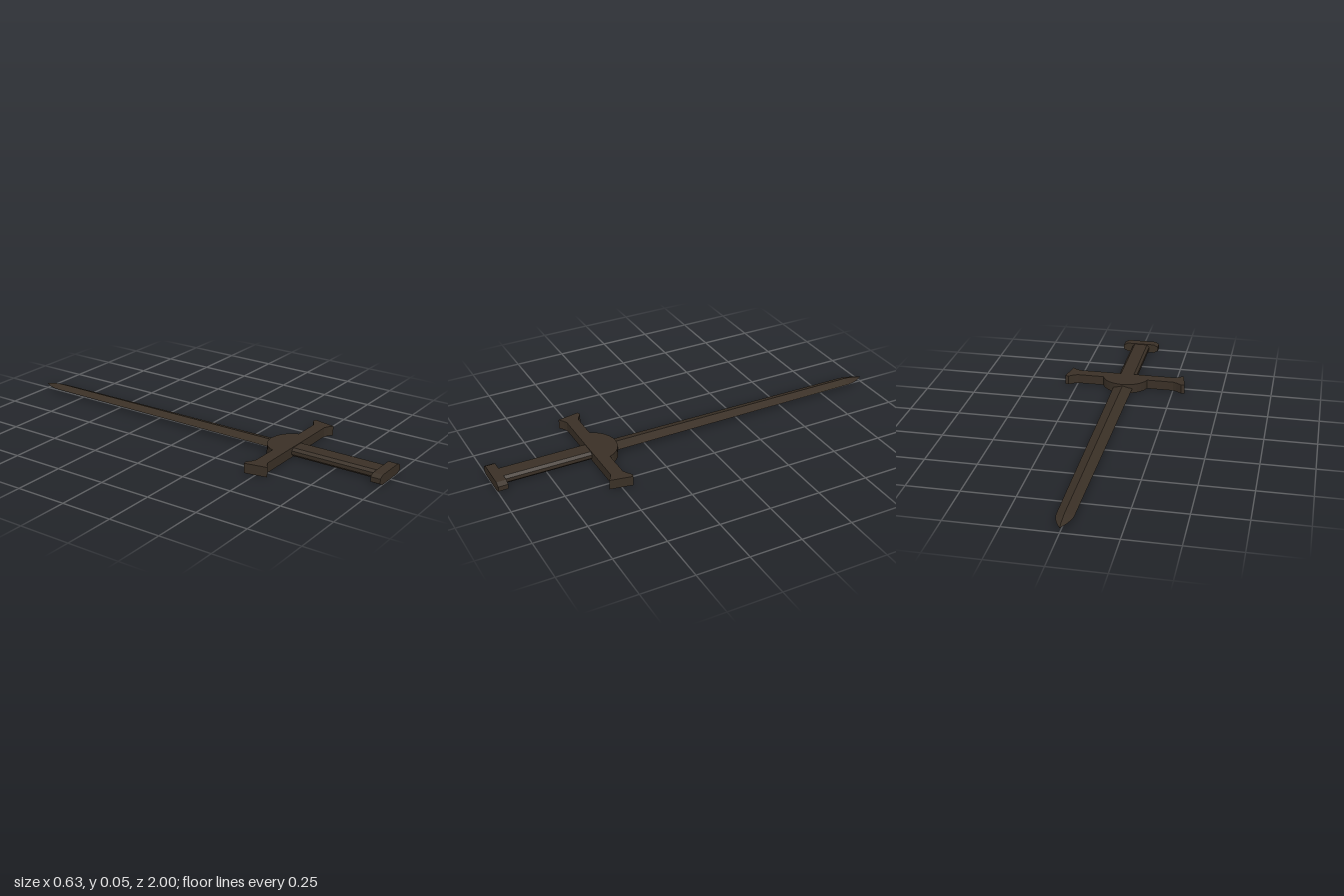
import * as THREE from 'three';

const HEIGHT = 0.047;
const MID = HEIGHT / 2;

// Bar along z with a chamfered rectangular section
function chamferedBar(halfW, halfH, cutX, cutY, z0, z1) {
  const s = new THREE.Shape([
    [halfW, -halfH + cutY], [halfW, halfH - cutY], [halfW - cutX, halfH], [-halfW + cutX, halfH],
    [-halfW, halfH - cutY], [-halfW, -halfH + cutY], [-halfW + cutX, -halfH], [halfW - cutX, -halfH],
  ].map(([x, y]) => new THREE.Vector2(x, y)));
  return new THREE.ExtrudeGeometry(s, { depth: z1 - z0, bevelEnabled: false }).translate(0, MID, z0);
}

// Crossguard outline with flared ends and a round shoulder, extruded upward
function guardGeometry() {
  const half = [[0.115, 0.47], [0.25, 0.47], [0.268, 0.462], [0.295, 0.443], [0.313, 0.447],
    [0.293, 0.555], [0.268, 0.538], [0.25, 0.53]];
  const pts = half.map(([x, z]) => new THREE.Vector2(x, -z)).reverse();
  const cz = 0.516, r = 0.1256, a0 = Math.asin((cz - 0.47) / r), steps = 12;
  for (let i = 1; i < steps; i++) {
    const a = a0 + (Math.PI - 2 * a0) * i / steps;
    pts.push(new THREE.Vector2(r * Math.cos(a), -cz + r * Math.sin(a)));
  }
  half.forEach(([x, z]) => pts.push(new THREE.Vector2(-x, -z)));
  return new THREE.ExtrudeGeometry(new THREE.Shape(pts), { depth: HEIGHT, bevelEnabled: false })
    .rotateX(-Math.PI / 2);
}

// Diamond-section blade lofted through [z, half width, half thickness]
function bladeGeometry() {
  const rings = [[0.46, 0.05, 0.016], [0.16, 0.047, 0.016], [-0.18, 0.045, 0.016], [-0.55, 0.042, 0.016],
    [-0.9, 0.039, 0.016], [-0.93, 0.034, 0.014], [-0.965, 0.021, 0.008], [-1, 0.0005, 0.0005]];
  const pos = [], idx = [];
  rings.forEach(([z, w, h], i) => {
    pos.push(-w, MID, z, 0, MID + h, z, w, MID, z, 0, MID - h, z);
    if (i === 0) return;
    const p = (i - 1) * 4, q = i * 4;
    for (let j = 0; j < 4; j++) {
      const k = (j + 1) % 4;
      idx.push(p + j, p + k, q + j, p + k, q + k, q + j);
    }
  });
  const g = new THREE.BufferGeometry();
  g.setAttribute('position', new THREE.Float32BufferAttribute(pos, 3));
  g.setIndex(idx);
  const flat = g.toNonIndexed();
  flat.computeVertexNormals();
  return flat;
}

export function createModel() {
  const group = new THREE.Group();
  group.name = 'sword';
  const darkBrown = new THREE.MeshStandardMaterial({ color: 0x3a3026 });
  darkBrown.name = 'darkBrown';
  const add = (name, geometry) => {
    const mesh = new THREE.Mesh(geometry, darkBrown);
    mesh.name = name;
    group.add(mesh);
  };

  add('blade', bladeGeometry());
  add('crossguard', guardGeometry());
  add('grip', chamferedBar(0.046, 0.0205, 0.012, 0.012, 0.5, 0.96));
  add('pommel', chamferedBar(0.095, MID, 0.022, 0.012, 0.953, 1));
  return group;
}
